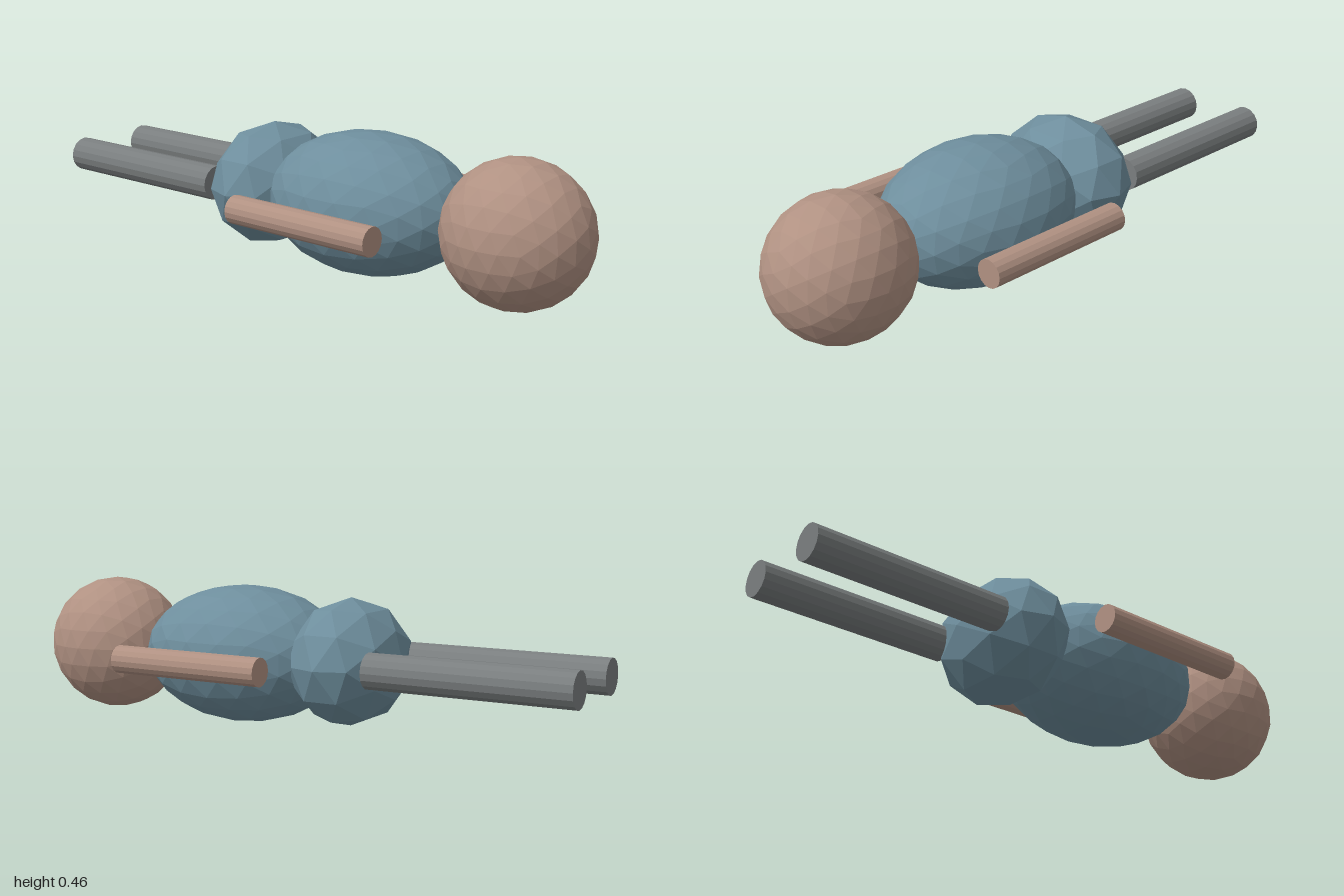
import * as THREE from 'three';

const material = (name, color) =>
  Object.assign(new THREE.MeshStandardMaterial({ color, flatShading: true }), { name });

// Faceted ball: every level splits each face in four and pushes it back onto the sphere
function icosphere(levels) {
  let ball = new THREE.IcosahedronGeometry(1, 0);
  for (let i = 0; i < levels; i++) {
    const corners = Array.from(ball.attributes.position.array);
    const faces = Array.from({ length: corners.length / 3 }, (_, k) => k);
    ball = new THREE.PolyhedronGeometry(corners, faces, 1, 1);
  }
  ball.computeVertexNormals();
  return ball;
}

export function createModel() {
  const model = new THREE.Group();
  model.name = 'lyingFigure';
  const skin = material('skin', 0xb09182);
  const cloth = material('blueCloth', 0x6e8e9d);
  const trousers = material('greyTrousers', 0x7a7e7f);
  const midY = 0.232;

  const add = (name, geometry, mat, x, z) => {
    const mesh = new THREE.Mesh(geometry, mat);
    mesh.name = name;
    mesh.position.set(x, midY, z);
    model.add(mesh);
  };
  const ellipsoid = (levels, rx, ry, rz) => icosphere(levels).scale(rx, ry, rz);
  const limb = (radius, length) =>
    new THREE.CylinderGeometry(radius, radius, length, 16).rotateX(Math.PI / 2);

  // Head and body along z
  add('head', ellipsoid(2, 0.222, 0.231, 0.238), skin, 0, 0.762);
  add('torso', ellipsoid(2, 0.271, 0.229, 0.36), cloth, 0, 0.217);
  add('pelvis', ellipsoid(1, 0.246, 0.208, 0.187), cloth, 0, -0.188);

  // Mirrored arms and legs
  for (const [side, s] of [['left', 1], ['right', -1]]) {
    add(side + 'Arm', limb(0.046, 0.543), skin, s * 0.337, 0.214);
    add(side + 'Leg', limb(0.058, 0.673), trousers, s * 0.141, -0.6635);
  }
  return model;
}
